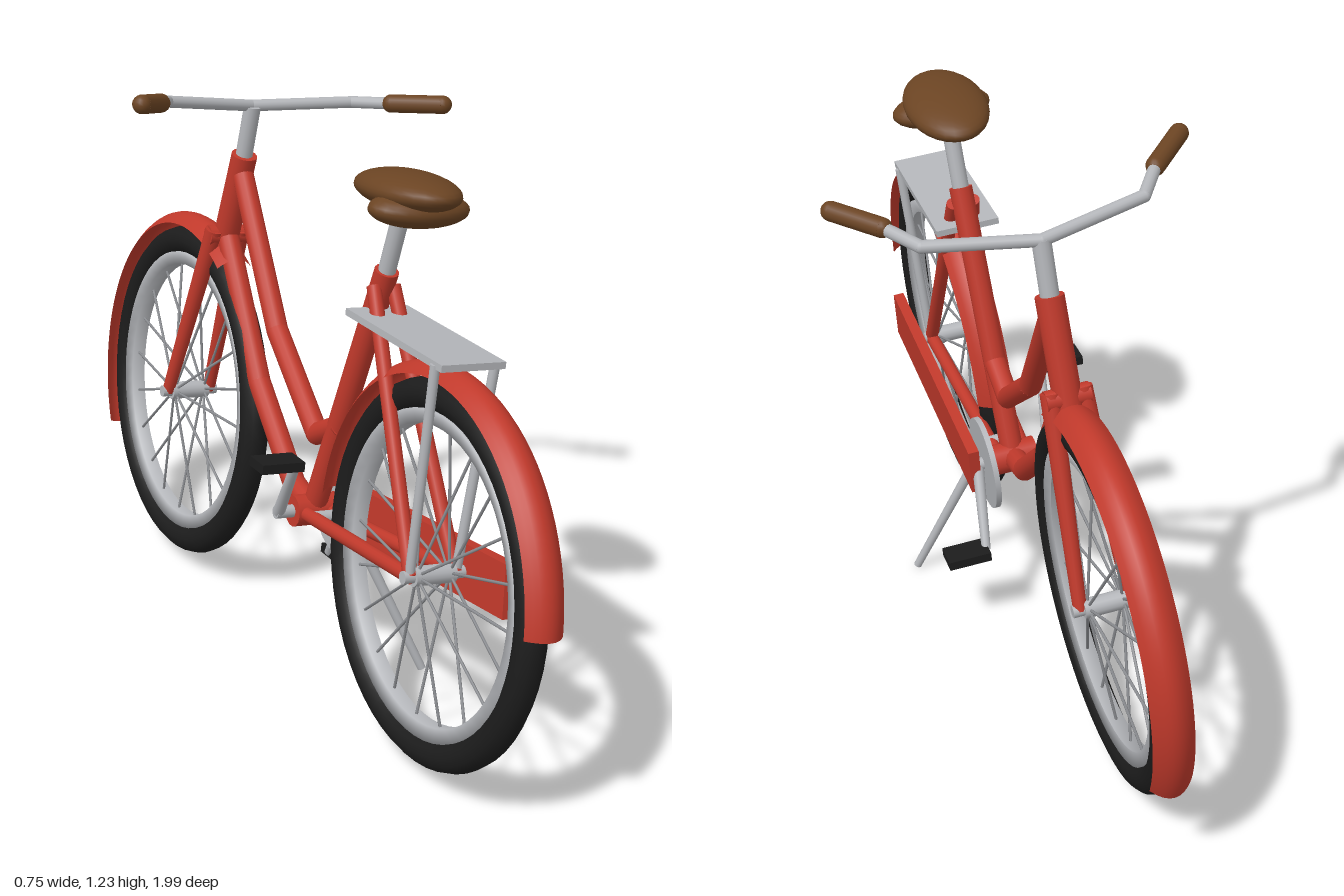
import * as THREE from 'three';

const mat = (name, color, side = THREE.FrontSide) => {
  const m = new THREE.MeshStandardMaterial({ color, side });
  m.name = name;
  return m;
};

export function createModel() {
  const red = mat('red paint', 0xc0392b, THREE.DoubleSide);
  const silver = mat('silver metal', 0xb4b6ba);
  const spokeGrey = mat('spoke grey', 0x8e9094);
  const black = mat('black rubber', 0x1c1c1c);
  const brown = mat('brown leather', 0x6b4423);

  // The whole bicycle leans over onto its kickstand
  const model = new THREE.Group();
  model.name = 'bicycle';
  const bike = new THREE.Group();
  bike.name = 'leaningBicycle';
  bike.rotation.z = -0.11;
  bike.position.x = -0.125;
  model.add(bike);

  const add = (name, geometry, material, position = [0, 0, 0], parent = bike) => {
    const mesh = new THREE.Mesh(geometry, material);
    mesh.name = name;
    mesh.position.set(...position);
    parent.add(mesh);
    return mesh;
  };

  // Straight round bar between two points, optionally tapered
  const UP = new THREE.Vector3(0, 1, 0);
  const bar = (name, a, b, r, material, rEnd = r, parent = bike, sides = 14) => {
    const p = new THREE.Vector3(...a), q = new THREE.Vector3(...b);
    const dir = q.clone().sub(p);
    const mesh = add(name, new THREE.CylinderGeometry(rEnd, r, dir.length(), sides), material,
      p.clone().add(q).multiplyScalar(0.5).toArray(), parent);
    mesh.quaternion.setFromUnitVectors(UP, dir.normalize());
    return mesh;
  };

  // Bent bar: straight pieces with ball joints
  const bentBar = (name, points, r, material) => {
    const group = new THREE.Group();
    group.name = name;
    bike.add(group);
    for (let i = 0; i < points.length - 1; i++) {
      bar(name + 'Section', points[i], points[i + 1], r, material, r, group);
      if (i > 0) add(name + 'Bend', new THREE.SphereGeometry(r, 14, 10), material, points[i], group);
    }
  };

  const REAR = [0, 0.417, 0.583], FRONT = [0, 0.417, -0.573];
  const CRANK = [0, 0.365, 0.085];

  // Wheels
  const wheel = (name, centre) => {
    const group = new THREE.Group();
    group.name = name;
    group.position.set(...centre);
    bike.add(group);
    add('tyre', new THREE.TorusGeometry(0.352, 0.032, 12, 56), black, [0, 0, 0], group).rotation.y = Math.PI / 2;
    const rimProfile = [[0.296, -0.016], [0.325, -0.022], [0.325, 0.022], [0.296, 0.016], [0.296, -0.016]]
      .map(([r, x]) => new THREE.Vector2(r, x));
    add('rim', new THREE.LatheGeometry(rimProfile, 56), silver, [0, 0, 0], group).rotation.z = Math.PI / 2;
    bar('hub', [-0.045, 0, 0], [0.045, 0, 0], 0.02, silver, 0.02, group);
    bar('axle', [-0.068, 0, 0], [0.068, 0, 0], 0.013, silver, 0.013, group);
    for (let i = 0; i < 20; i++) {
      const a = (i / 20) * Math.PI * 2, c = Math.cos(a), s = Math.sin(a);
      bar('spoke', [i % 2 ? 0.035 : -0.035, 0.015 * s, 0.015 * c], [0, 0.3 * s, 0.3 * c],
        0.0032, spokeGrey, 0.0032, group, 5);
    }
  };
  wheel('rearWheel', REAR);
  wheel('frontWheel', FRONT);

  // Mudguards: a shallow arched strip swept round the wheel; angles run from +z over the top
  const mudguard = (name, centre, from, to) => {
    const profile = [];
    for (let i = 0; i <= 8; i++) {
      const t = i / 4 - 1;
      profile.push(new THREE.Vector2(0.418 - 0.026 * t * t, 0.042 * t));
    }
    const rad = THREE.MathUtils.degToRad;
    add(name, new THREE.LatheGeometry(profile, 40, rad(from), rad(to - from)), red, centre).rotation.z = Math.PI / 2;
  };
  mudguard('rearMudguard', REAR, 5, 176);
  mudguard('frontMudguard', FRONT, 62, 209);

  // Step-through frame
  bar('seatTube', CRANK, [0, 0.943, 0.284], 0.025, red);
  bar('headTube', [0, 0.8, -0.45], [0, 1.022, -0.388], 0.029, red);
  bentBar('upperFrameTube', [[0, 0.58, 0.168], [0, 0.528, 0.068], [0, 0.688, -0.155], [0, 0.975, -0.385]], 0.024, red);
  bentBar('lowerFrameTube', [CRANK, [0, 0.387, -0.01], [0, 0.55, -0.215], [0, 0.82, -0.43]], 0.025, red);
  bar('crankShell', [-0.05, ...CRANK.slice(1)], [0.05, ...CRANK.slice(1)], 0.034, red);

  // Paired stays, fork blades and rack legs
  for (const s of [1, -1]) {
    bar('seatStay', [s * 0.022, 0.91, 0.278], [s * 0.05, 0.417, 0.583], 0.015, red);
    bar('chainStay', [s * 0.03, 0.365, 0.1], [s * 0.05, 0.417, 0.583], 0.015, red);
    bar('forkBlade', [s * 0.032, 0.84, -0.44], [s * 0.052, 0.417, -0.573], 0.021, red, 0.014);
    bar('rackLeg', [s * 0.066, 0.855, 0.61], [s * 0.052, 0.417, 0.583], 0.01, silver);
  }
  bar('forkCrown', [-0.045, 0.825, -0.445], [0.045, 0.825, -0.445], 0.022, red);

  // Luggage rack
  add('rackPlate', new THREE.BoxGeometry(0.14, 0.014, 0.38), silver, [0, 0.855, 0.45]);

  // Saddle
  bar('seatPost', [0, 0.92, 0.278], [0, 1.1, 0.325], 0.018, silver);
  const saddle = add('saddle', new THREE.SphereGeometry(1, 28, 18), brown, [0, 1.118, 0.33]);
  saddle.scale.set(0.088, 0.039, 0.15);
  saddle.rotation.x = -0.08;
  const saddleBack = add('saddleBack', new THREE.SphereGeometry(1, 24, 16), brown, [0, 1.092, 0.38]);
  saddleBack.scale.set(0.108, 0.036, 0.065);

  // Handlebar
  bar('stem', [0, 1.0, -0.394], [0, 1.135, -0.37], 0.019, silver);
  const half = [[0.222, 1.153, -0.328], [0.275, 1.167, -0.245], [0.355, 1.182, -0.16]];
  const mirror = ([x, y, z]) => [-x, y, z];
  bentBar('handlebar', [mirror(half[1]), mirror(half[0]), [0, 1.135, -0.375], half[0], half[1]], 0.013, silver);
  for (const side of [p => p, mirror]) {
    const [a, b] = [side(half[1]), side(half[2])];
    bar('grip', a, b, 0.02, brown);
    for (const end of [a, b]) add('gripEnd', new THREE.SphereGeometry(0.02, 14, 10), brown, end);
  }

  // Chainring, chain guard and axle
  const [, cy, cz] = CRANK;
  bar('chainring', [0.058, cy, cz], [0.07, cy, cz], 0.103, silver, 0.103, bike, 36);
  bar('crankAxle', [-0.09, cy, cz], [0.088, cy, cz], 0.014, silver);
  const guard = add('chainGuard', new THREE.BoxGeometry(0.024, 0.11, 0.65), red, [0.093, 0.392, 0.39]);
  guard.rotation.x = -0.102;

  // Cranks and pedals, half a turn apart
  for (const s of [1, -1]) {
    const y = cy - s * 0.152, z = cz - s * 0.108;
    bar('crankArm', [s * 0.082, cy, cz], [s * 0.11, y, z], 0.013, silver, 0.01);
    add('pedal', new THREE.BoxGeometry(0.095, 0.02, 0.062), black, [s * 0.154, y, z]);
  }

  // Kickstand
  bar('kickstand', [0.045, 0.372, 0.15], [0.224, 0.034, 0.23], 0.012, silver, 0.009);
  bar('kickstandMount', [-0.03, 0.372, 0.15], [0.05, 0.372, 0.15], 0.014, silver);

  return model;
}
